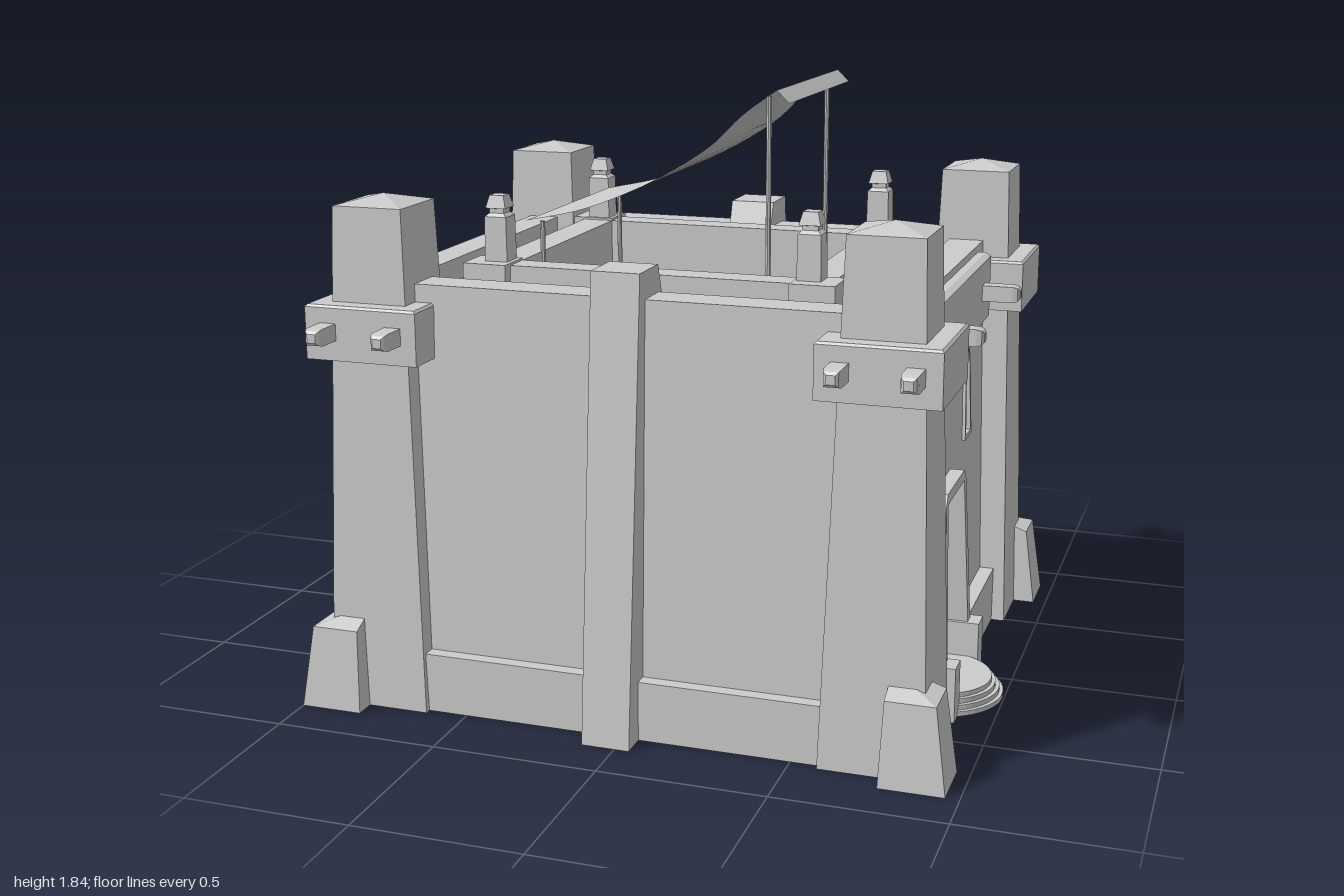
import * as THREE from 'three';

const CX = -0.02; // building axis; the door step shifts it off centre
const mat = new THREE.MeshStandardMaterial({ color: 0xcccccc, flatShading: true, side: THREE.DoubleSide });
const smoothMat = new THREE.MeshStandardMaterial({ color: 0xcccccc, side: THREE.DoubleSide });

// Rectangular rings [halfX, halfZ, y, centreX, centreZ] joined into a faceted skin, closed at the top
function loft(rings, capBottom = false) {
  const corners = rings.map(([hx, hz, y, cx = 0, cz = 0]) =>
    [[1, 1], [1, -1], [-1, -1], [-1, 1]].map(([a, b]) => [cx + a * hx, y, cz + b * hz]));
  const pos = [];
  const quad = (a, b, c, d) => pos.push(...a, ...b, ...c, ...a, ...c, ...d);
  for (let i = 0; i + 1 < corners.length; i++) {
    for (let k = 0; k < 4; k++) {
      const n = (k + 1) % 4;
      quad(corners[i][k], corners[i][n], corners[i + 1][n], corners[i + 1][k]);
    }
  }
  quad(...corners[corners.length - 1]);
  if (capBottom) quad(...corners[0].slice().reverse());
  const g = new THREE.BufferGeometry();
  g.setAttribute('position', new THREE.Float32BufferAttribute(pos, 3));
  g.computeVertexNormals();
  return g;
}

// Outline given as [z, y], extruded along +x; lean pulls it inward with height
function sideExtrude(outline, holes, depth, lean = 0) {
  const pts = (list) => list.map(([z, y]) => new THREE.Vector2(-z, y));
  const shape = new THREE.Shape(pts(outline));
  holes.forEach((h) => shape.holes.push(new THREE.Path(pts(h))));
  const g = new THREE.ExtrudeGeometry(shape, { depth, bevelEnabled: false });
  g.rotateY(Math.PI / 2);
  const p = g.attributes.position;
  for (let i = 0; i < p.count; i++) p.setX(i, p.getX(i) - lean * p.getY(i));
  g.computeVertexNormals();
  return g;
}

export function createModel() {
  const model = new THREE.Group();
  const add = (name, geometry, x = 0, y = 0, z = 0, material = mat) => {
    const m = new THREE.Mesh(geometry, material);
    m.name = name;
    m.position.set(x, y, z);
    model.add(m);
    return m;
  };
  const box = (name, x0, x1, y0, y1, z0, z1) => add(name, new THREE.BoxGeometry(x1 - x0, y1 - y0, z1 - z0),
    (x0 + x1) / 2, (y0 + y1) / 2, (z0 + z1) / 2);

  // Tapered walls, parapet and roof floor, open underneath
  add('walls', loft([
    [0.8075, 0.74, 0, -0.0475], [0.77, 0.69, 1.285, -0.05],
    [0.69, 0.575, 1.285, -0.03], [0.69, 0.575, 1.15, -0.03],
  ]));

  // Door wall with openings
  const doorway = [[0.325, 0.01], [0.275, 0.64], [0.025, 0.64], [-0.025, 0.01]];
  const slit = (s, b) => [[-0.22 + 0.053 * s, 0.71 + b], [-0.22 + 0.036 * s, 0.95], [-0.22 + 0.025 * s, 0.99 - b],
    [-0.22, 1.013 - b], [-0.22 - 0.025 * s, 0.99 - b], [-0.22 - 0.036 * s, 0.95], [-0.22 - 0.053 * s, 0.71 + b]];
  add('doorWall', sideExtrude([[0.74, 0], [0.69, 1.285], [-0.69, 1.285], [-0.74, 0]],
    [doorway, slit(0.7, 0.014)], 0.08, 0.031), 0.73);
  add('windowFrame', sideExtrude(slit(1, 0), [slit(0.7, 0.014)], 0.03, 0.031), 0.79);
  add('doorFrame', sideExtrude(
    [[0.37, 0], [0.305, 0.64], [0.28, 0.672], [0.02, 0.672], [-0.005, 0.64], [-0.07, 0]],
    [doorway], 0.08, 0.04), 0.78);
  for (const z of [-0.075, 0.3]) box('doorJamb', 0.79, 0.89, 0, 0.17, z, z + 0.075);

  // Round door steps
  [0.2, 0.188, 0.176, 0.164].forEach((r, i) => {
    const g = new THREE.CylinderGeometry(r, r, 0.015, 24, 1, false, 0, Math.PI);
    add('doorStep', g, 0.795, 0.0075 + i * 0.015, 0.15);
  });

  // Plinth along the wall feet
  for (const s of [-1, 1]) box('plinth', -0.72, 0.68, 0, 0.18, s * 0.745 - 0.03, s * 0.745 + 0.03);
  box('plinth', -0.895, -0.83, 0, 0.18, -0.6, 0.6);
  box('plinth', 0.79, 0.85, 0, 0.18, 0.35, 0.6);
  box('plinth', 0.79, 0.85, 0, 0.18, -0.6, -0.06);

  // Sloping pilasters at the middle of the front and back
  for (const s of [-1, 1]) {
    const profile = [[0.855, 0], [0.73, 1.365], [0.58, 1.365], [0.505, 1.15], [0.6, 1.1], [0.7, 0]];
    add('pilaster', sideExtrude(profile.map(([z, y]) => [z * s, y]), [], 0.145), -0.1);
  }

  // Corner towers with collars, beam ends and footings
  const beam = () => loft([[0.025, 0.025, 0], [0.025, 0.025, 0.13], [0.021, 0.021, 0.145], [0.013, 0.013, 0.152]]);
  for (const sx of [-1, 1]) {
    for (const sz of [-1, 1]) {
      const x = CX + sx * 0.757, z = sz * 0.64;
      add('tower', loft([[0.155, 0.155, 0], [0.108, 0.108, 1.51], [0.002, 0.002, 1.537]]), x, 0, z);
      add('towerCollar', loft([[0.175, 0.175, 1.07], [0.175, 0.175, 1.225], [0.168, 0.168, 1.232]], true), x, 0, z);
      for (const d of [-0.103, 0.103]) {
        add('beamEnd', beam(), x + d, 1.155, sz * 0.76).rotation.x = sz * Math.PI / 2;
      }
      add('towerFooting', loft([
        [0.095, 0.085, 0, sx * 0.885, sz * 0.775],
        [0.0725, 0.07, 0.25, sx * 0.8725, sz * 0.768],
        [0.035, 0.04, 0.276, sx * 0.835, sz * 0.74],
      ]), CX);
    }
  }

  // Overhanging panel with two beam ends above the door
  add('wallPanel', loft([[0.105, 0.44, 0], [0.105, 0.44, 0.055], [0.097, 0.425, 0.075]], true), 0.74, 1.158, 0)
    .rotation.z = -Math.PI / 2;
  for (const z of [-0.31, 0.315]) add('beamEnd', beam(), 0.78, 1.16, z).rotation.z = -Math.PI / 2;

  // Inner roof curb with corner blocks and small finials
  for (const s of [-1, 1]) {
    box('roofCurb', -0.56, 0.51, 1.15, 1.31, s * 0.42 - 0.045, s * 0.42 + 0.045);
    const x = -0.025 + s * 0.485;
    box('roofCurb', x - 0.05, x + 0.05, 1.15, 1.31, -0.42, 0.42);
    for (const t of [-1, 1]) {
      const bx = -0.0275 + s * 0.5, bz = t * 0.44;
      box('curbBlock', bx - 0.0675, bx + 0.0675, 1.15, 1.317, bz - 0.065, bz + 0.065);
      add('finial', loft([
        [0.036, 0.036, 1.31], [0.034, 0.034, 1.45], [0.023, 0.023, 1.46],
        [0.023, 0.023, 1.473], [0.032, 0.032, 1.475], [0.022, 0.022, 1.513],
      ]), -0.03 + s * 0.48, 0, t * 0.42);
    }
  }

  // Awning poles
  for (const z of [-0.317, 0.333]) {
    for (const [x, top] of [[0.295, 1.82], [-0.41, 1.425]]) {
      add('awningPole', new THREE.CylinderGeometry(0.008, 0.008, top - 1.15, 8), x, (top + 1.15) / 2, z);
    }
  }

  // Sagging awning cloth and its hanging edge
  const sag = new THREE.CatmullRomCurve3([
    [-0.46, 1.425], [-0.27, 1.47], [-0.07, 1.555], [0.12, 1.67], [0.22, 1.765], [0.32, 1.838],
  ].map(([x, y]) => new THREE.Vector3(x, y, 0)));
  const cloth = new THREE.PlaneGeometry(1, 0.695, 24, 1).rotateX(-Math.PI / 2);
  const p = cloth.attributes.position;
  for (let i = 0; i < p.count; i++) {
    const c = sag.getPoint(Math.min(1, Math.max(0, p.getX(i) + 0.5)));
    p.setXYZ(i, c.x, c.y, p.getZ(i));
  }
  cloth.computeVertexNormals();
  add('awningCloth', cloth, 0, 0, 0, smoothMat);
  const flap = new THREE.PlaneGeometry(0.052, 0.695).rotateX(-Math.PI / 2).rotateZ(-0.76);
  add('awningEdge', flap, 0.339, 1.82, 0);

  return model;
}
